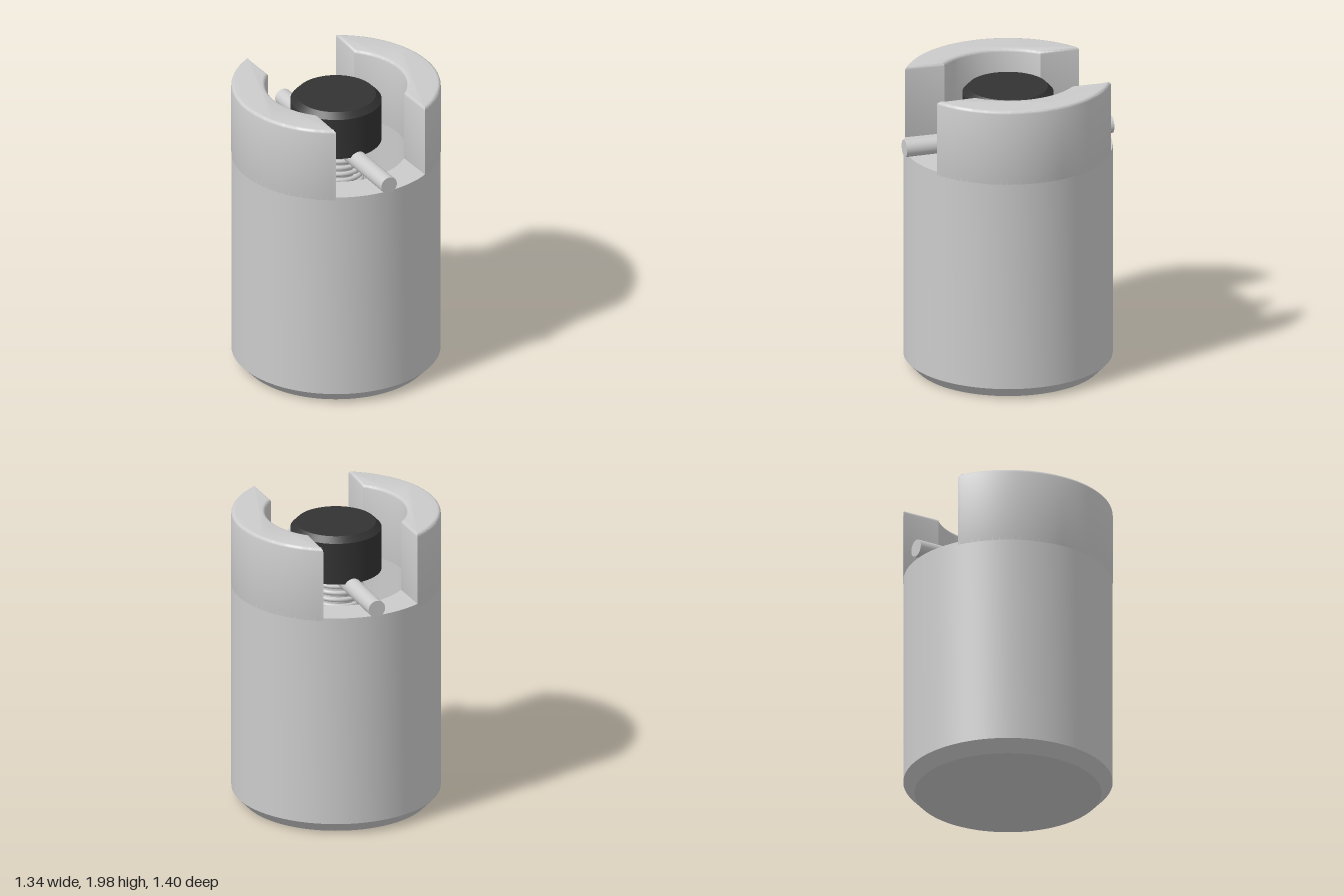
import * as THREE from 'three';
import { toCreasedNormals } from 'three/addons/utils/BufferGeometryUtils.js';

const R = 0.672, BORE = 0.455, FLOOR = 1.5, BORE_BOTTOM = 0.6;

export function createModel() {
  const group = new THREE.Group();
  const grey = new THREE.MeshStandardMaterial({ color: 0xcccccc });
  const dark = new THREE.MeshStandardMaterial({ color: 0x333333 });

  const add = (name, geometry, material = grey) => {
    const mesh = new THREE.Mesh(geometry, material);
    mesh.name = name;
    group.add(mesh);
    return mesh;
  };
  const lathe = (points) => toCreasedNormals(
    new THREE.LatheGeometry(points.map(([x, y]) => new THREE.Vector2(x, y)), 96), 0.4);

  // Cylindrical housing with chamfered foot and a blind bore
  add('housing', lathe([
    [0, 0], [0.6, 0], [R, 0.075], [R, FLOOR],
    [BORE, FLOOR], [BORE, BORE_BOTTOM], [0, BORE_BOTTOM],
  ]));

  // Two curved guard walls either side of the slot, with rounded top edges
  const outer = Math.acos(0.326 / R), inner = Math.acos(0.318 / BORE);
  const bevel = 0.02;
  const section = new THREE.Shape();
  section.absarc(0, 0, R, -outer, outer, false);
  section.absarc(0, 0, BORE, inner, -inner, true);
  const wall = new THREE.ExtrudeGeometry(section, {
    depth: 2 - FLOOR - bevel, curveSegments: 48,
    bevelEnabled: true, bevelSize: bevel, bevelThickness: bevel, bevelOffset: -bevel, bevelSegments: 3,
  });
  wall.rotateX(-Math.PI / 2).translate(0, FLOOR - bevel, 0);
  const wallGeometry = toCreasedNormals(wall, 0.6);
  add('leftGuardWall', wallGeometry);
  add('rightGuardWall', wallGeometry).rotation.y = Math.PI;

  // Knob with chamfered top
  add('knob', lathe([[0, 1.58], [0.293, 1.58], [0.293, 1.862], [0.256, 1.9], [0, 1.9]]), dark);

  // Plunger stem down the bore
  const stemTop = 1.6;
  add('stem', new THREE.CylinderGeometry(0.105, 0.105, stemTop - BORE_BOTTOM, 48))
    .position.y = (stemTop + BORE_BOTTOM) / 2;

  // Cross pin resting across the slot
  const pin = add('crossPin', new THREE.CylinderGeometry(0.057, 0.057, 1.4, 40));
  pin.rotation.x = Math.PI / 2;
  pin.position.y = FLOOR + 0.056;

  // Coil spring around the stem
  class Helix extends THREE.Curve {
    getPoint(t, target = new THREE.Vector3()) {
      const angle = t * 20 * Math.PI * 2;
      return target.set(
        0.165 * Math.cos(angle),
        THREE.MathUtils.lerp(BORE_BOTTOM + 0.02, 1.522, t),
        0.165 * Math.sin(angle));
    }
  }
  add('spring', new THREE.TubeGeometry(new Helix(), 20 * 36, 0.016, 10, false));

  return group;
}
